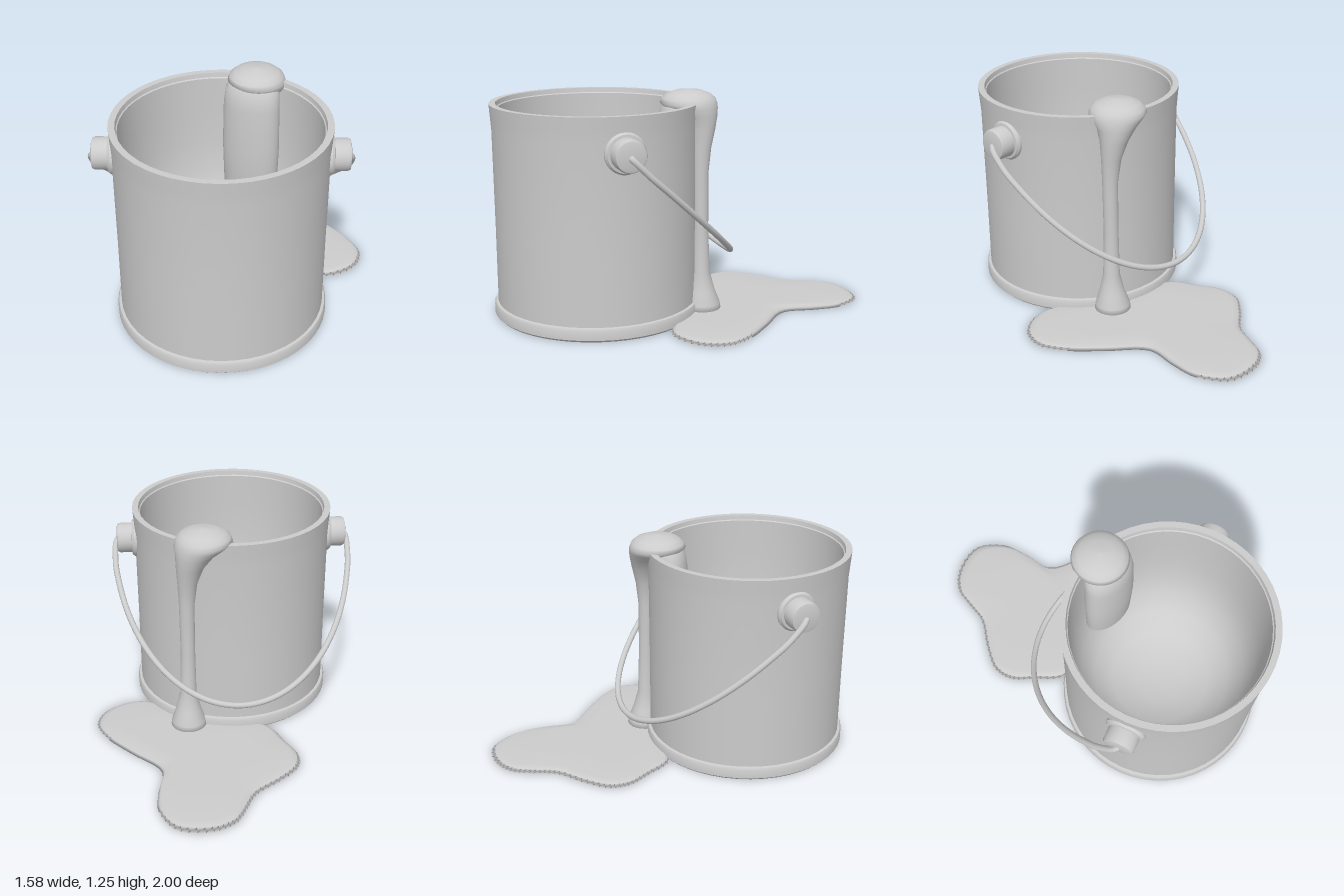
import * as THREE from 'three';
import { toCreasedNormals } from 'three/addons/utils/BufferGeometryUtils.js';

const material = new THREE.MeshStandardMaterial({ color: 0xcccccc, side: THREE.DoubleSide });

function add(parent, name, geometry) {
  const mesh = new THREE.Mesh(geometry, material);
  mesh.name = name;
  parent.add(mesh);
  return mesh;
}

// Turned part from [radius, height] pairs, with sharp edges kept
function lathe(points, segments) {
  const profile = points.map(([r, y]) => new THREE.Vector2(r, y));
  return toCreasedNormals(new THREE.LatheGeometry(profile, segments), 0.6);
}

// Smooth skin over closed rings of [x, y, z] points, listed bottom to top
function skin(rings) {
  const n = rings[0].length;
  const index = [];
  for (let i = 0; i < rings.length - 1; i++) {
    for (let j = 0; j < n; j++) {
      const a = i * n + j, b = i * n + (j + 1) % n;
      index.push(a, a + n, b, b, a + n, b + n);
    }
  }
  const geometry = new THREE.BufferGeometry();
  geometry.setAttribute('position', new THREE.Float32BufferAttribute(rings.flat(2), 3));
  geometry.setIndex(index);
  geometry.computeVertexNormals();
  return geometry;
}

// Ellipse ring for skin()
function ring([x, y, z, rx, rz = rx], n = 32) {
  return Array.from({ length: n }, (_, j) => {
    const t = (j / n) * Math.PI * 2;
    return [x + rx * Math.cos(t), y, z + rz * Math.sin(t)];
  });
}

function createCan(can) {
  // Outer wall, foot band, rim and rounded inside in one turned profile
  add(can, 'can', lathe([
    [0, 0], [0.568, 0], [0.58, 0.012], [0.58, 0.06], [0.574, 0.073], [0.56, 0.076],
    [0.56, 0.5], [0.563, 1.04], [0.568, 1.11], [0.573, 1.18],
    [0.538, 1.18], [0.534, 1.155], [0.528, 1.15],
    [0.527, 0.95], [0.522, 0.75], [0.505, 0.58], [0.465, 0.44],
    [0.39, 0.32], [0.28, 0.24], [0.14, 0.2], [0, 0.19],
  ], 48));

  // Washer and knob on each side
  for (const side of [1, -1]) {
    const ear = add(can, 'handleKnob', lathe([
      [0.11, 0], [0.11, 0.02], [0.1, 0.034], [0.086, 0.036],
      [0.086, 0.105], [0.08, 0.118], [0.066, 0.122], [0, 0.122],
    ], 32));
    ear.position.set(side * 0.545, 0.99, 0);
    ear.rotation.z = -side * Math.PI / 2;
  }

  // Wire bail: half ellipse tilted down behind the can, hooked into the knobs
  const path = [new THREE.Vector3(0.62, 0.985, 0), new THREE.Vector3(0.665, 0.982, 0)];
  const steps = 24;
  for (let i = 1; i < steps; i++) {
    const t = (i / steps) * Math.PI;
    const s = Math.sin(t);
    path.push(new THREE.Vector3(0.685 * Math.cos(t), 0.97 - 0.68 * s, -0.76 * s));
  }
  path.push(new THREE.Vector3(-0.665, 0.982, 0), new THREE.Vector3(-0.62, 0.985, 0));
  add(can, 'wireHandle', new THREE.TubeGeometry(new THREE.CatmullRomCurve3(path), 120, 0.017, 10));
}

function createPuddle() {
  const outline = [
    [0.35, -1], [0.53, -0.94], [0.592, -0.77], [0.56, -0.61], [0.51, -0.44],
    [0.64, -0.24], [0.755, -0.05], [0.79, 0.1], [0.715, 0.23], [0.53, 0.285],
    [0.38, 0.2], [0.2, 0.03], [0, -0.08], [-0.18, -0.17], [-0.235, -0.34],
    [-0.27, -0.48], [-0.235, -0.59], [-0.1, -0.685], [0.055, -0.765],
    [0.135, -0.865], [0.22, -0.965],
  ].map(([x, z]) => new THREE.Vector3(x, 0, z));
  const edge = new THREE.CatmullRomCurve3(outline, true).getPoints(96).slice(0, 96);
  const cx = 0.3, cz = -0.25;
  // Flat underside, sloping lip, then a nearly level top
  const levels = [[0, 0], [1, 0], [0.965, 0.016], [0.91, 0.027], [0.6, 0.03], [0, 0.03]];
  return skin(levels.map(([s, y]) =>
    edge.map((p) => [cx + (p.x - cx) * s, y, cz + (p.z - cz) * s])));
}

export function createModel() {
  const model = new THREE.Group();
  model.name = 'spilledPaintCan';

  const can = new THREE.Group();
  can.name = 'canWithHandle';
  can.position.set(-0.105, 0, 0.417);
  can.rotation.y = -0.176;
  createCan(can);
  model.add(can);

  // Paint running down the outside, swelling into a blob over the rim
  add(model, 'paintDrip', skin([
    [0.27, 0.01, -0.05, 0], [0.27, 0.01, -0.05, 0.105], [0.27, 0.06, -0.05, 0.098],
    [0.27, 0.13, -0.046, 0.073], [0.268, 0.24, -0.042, 0.047], [0.265, 0.5, -0.04, 0.041],
    [0.265, 0.8, -0.036, 0.043], [0.26, 0.94, -0.042, 0.055], [0.245, 1.04, -0.05, 0.077],
    [0.215, 1.11, -0.045, 0.108], [0.18, 1.15, -0.025, 0.145], [0.16, 1.175, -0.02, 0.157],
    [0.16, 1.2, -0.02, 0.147], [0.16, 1.222, -0.02, 0.12], [0.16, 1.24, -0.02, 0.073],
    [0.16, 1.247, -0.02, 0],
  ].map((r) => ring(r))));

  // Paint hanging down the inside wall
  const inner = add(model, 'innerPaint', skin([
    [0, 0.46, -0.44, 0, 0], [0, 0.47, -0.44, 0.11, 0.06], [0, 0.54, -0.44, 0.155, 0.09],
    [0, 0.8, -0.438, 0.162, 0.1], [0, 1.05, -0.442, 0.158, 0.1],
    [0, 1.14, -0.455, 0.15, 0.1], [0, 1.19, -0.48, 0.12, 0.09], [0, 1.2, -0.49, 0, 0],
  ].map((r) => ring(r))));
  inner.position.copy(can.position);
  inner.rotation.y = -0.542;

  add(model, 'paintPuddle', createPuddle());
  return model;
}
